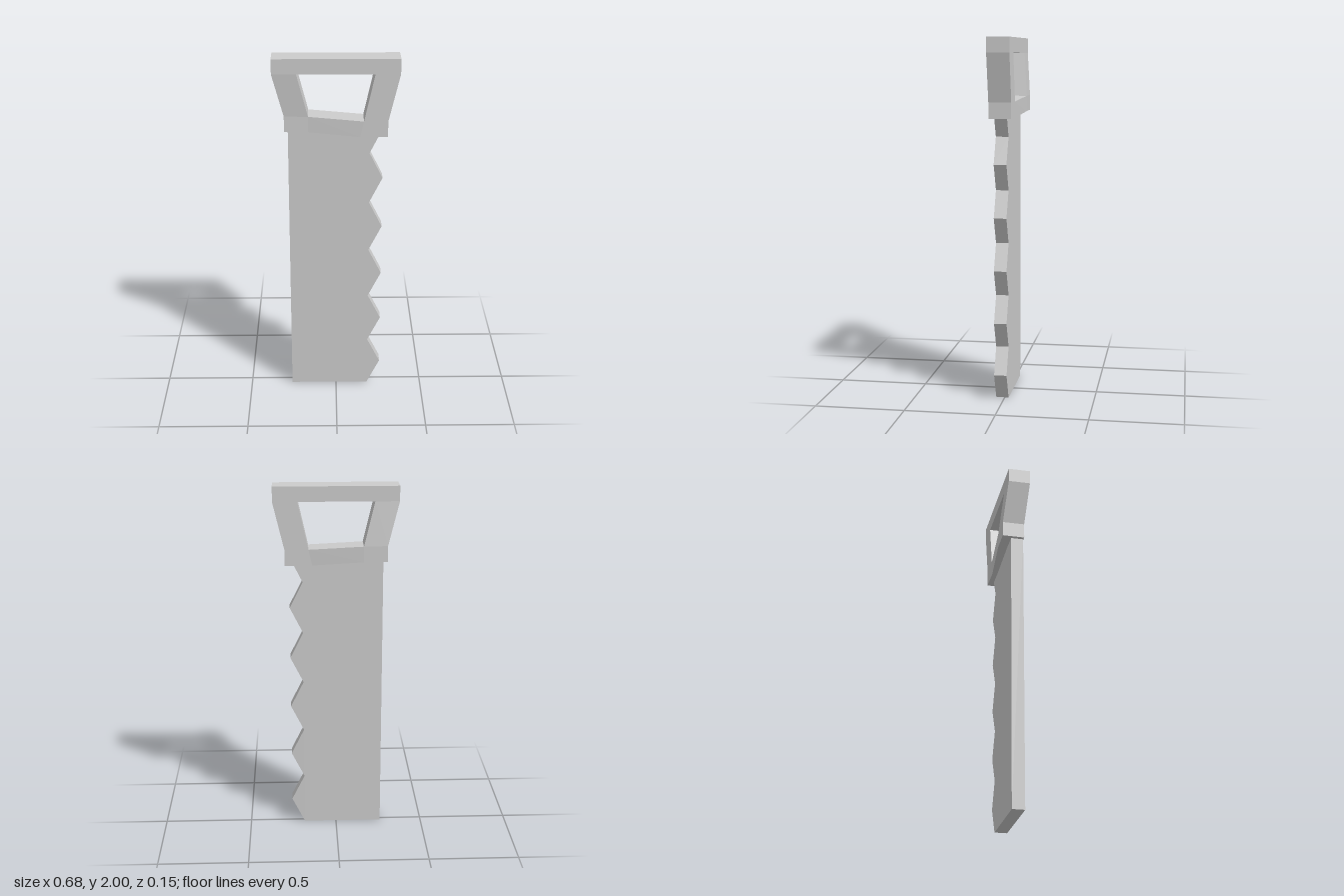
import * as THREE from 'three';

const material = new THREE.MeshStandardMaterial({ color: 0xcccccc, flatShading: true });

// Flat blade with a zigzag cutting edge; its top is buried in the handle
function createBlade() {
  const root = 0.183, tip = 0.256, step = 0.1465, top = 1.612;
  const shape = new THREE.Shape();
  shape.moveTo(-0.26, 0);
  for (let i = 0; i <= 11; i++) shape.lineTo(i % 2 ? tip : root, i * step);
  shape.lineTo(-0.26, top);
  const geometry = new THREE.ExtrudeGeometry(shape, { depth: 0.07, bevelEnabled: false });
  geometry.translate(0, 0, -0.022);
  const mesh = new THREE.Mesh(geometry, material);
  mesh.name = 'blade';
  return mesh;
}

// Handle: a 3 x 3 grid of cells with the middle one left open for the grip.
// The lower left corner is pushed backwards, giving the frame a slight twist.
function createHandle() {
  const rows = [
    [[-0.342, 2], [-0.21, 2], [0.21, 2], [0.342, 2]],
    [[-0.342, 1.917], [-0.21, 1.917], [0.208, 1.917], [0.342, 1.917]],
    [[-0.28, 1.677], [-0.15, 1.675], [0.15, 1.655], [0.28, 1.655]],
    [[-0.28, 1.59], [-0.15, 1.588], [0.13, 1.567], [0.28, 1.567]],
  ];
  const point = ([r, c], back) => {
    const shift = r > 1 && c < 2 ? -0.022 : 0;
    return [...rows[r][c], (back ? -0.052 : 0.072) + shift];
  };
  const solid = (r, c) => r >= 0 && r < 3 && c >= 0 && c < 3 && !(r === 1 && c === 1);

  const positions = [];
  const quad = (a, b, c, d) => positions.push(...a, ...b, ...c, ...a, ...c, ...d);
  for (let r = 0; r < 3; r++) {
    for (let c = 0; c < 3; c++) {
      if (!solid(r, c)) continue;
      const corners = [[r, c], [r + 1, c], [r + 1, c + 1], [r, c + 1]];
      const front = corners.map((k) => point(k, false));
      const back = corners.map((k) => point(k, true));
      quad(...front);
      quad(back[3], back[2], back[1], back[0]);
      // Side walls only where there is no neighbouring cell
      [[0, -1], [1, 0], [0, 1], [-1, 0]].forEach(([dr, dc], i) => {
        if (solid(r + dr, c + dc)) return;
        const j = (i + 1) % 4;
        quad(front[i], back[i], back[j], front[j]);
      });
    }
  }
  const geometry = new THREE.BufferGeometry();
  geometry.setAttribute('position', new THREE.Float32BufferAttribute(positions, 3));
  geometry.computeVertexNormals();
  const mesh = new THREE.Mesh(geometry, material);
  mesh.name = 'handle';
  return mesh;
}

export function createModel() {
  const group = new THREE.Group();
  group.name = 'handSaw';
  group.add(createBlade(), createHandle());
  return group;
}
